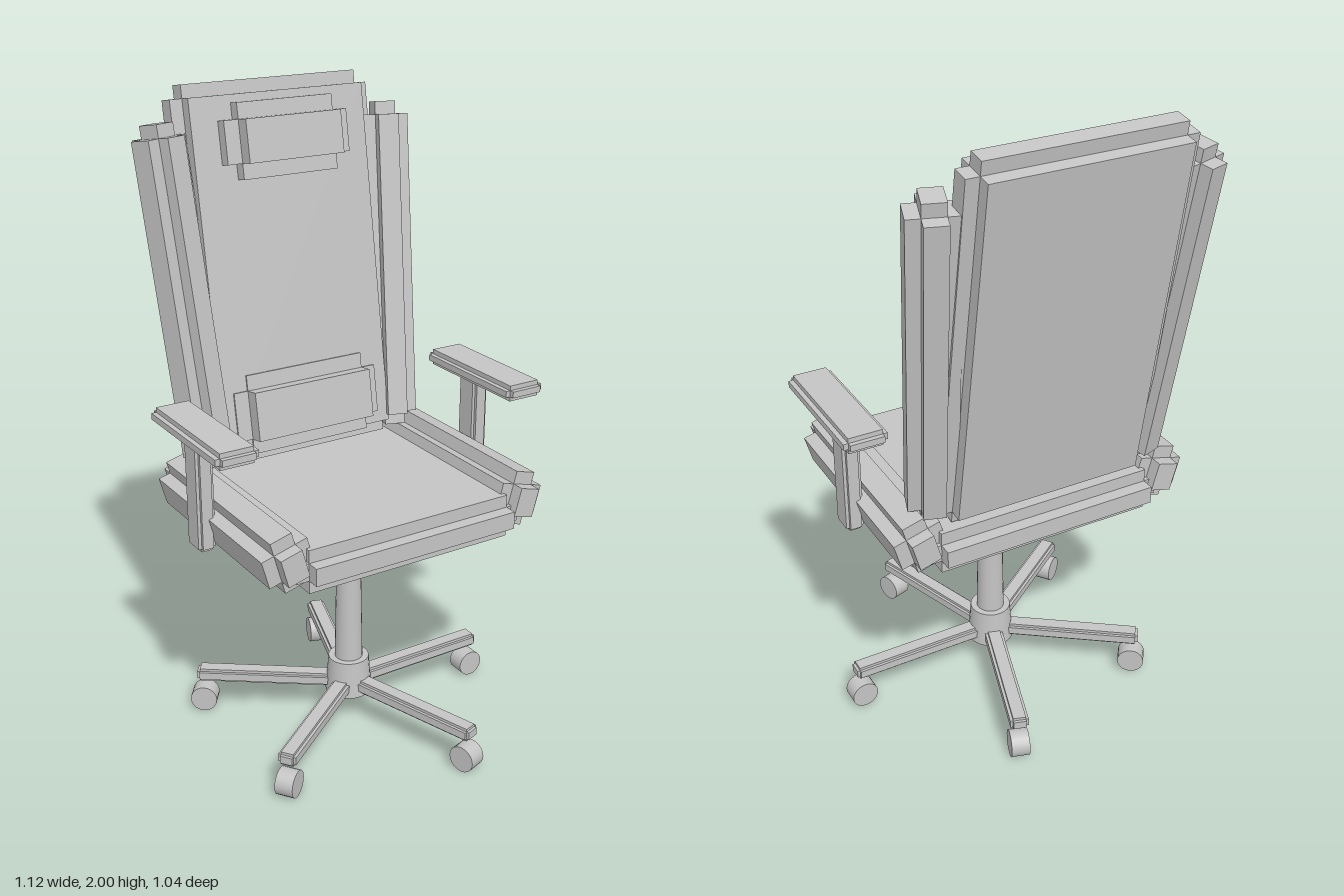
import * as THREE from 'three';
import { mergeGeometries } from 'three/addons/utils/BufferGeometryUtils.js';

const grey = new THREE.MeshStandardMaterial({ color: 0xc4c4c4 });
grey.name = 'plain grey';

const LEAN = -0.165; // recline of the backrest
const MID_Z = 0.02;  // centre line of seat and base

// Box with stepped edges: three crossing boxes, each full size along one axis less
function steppedBox(w, h, d, b) {
  const c = 2 * b;
  return mergeGeometries([
    new THREE.BoxGeometry(w, h - c, d - c),
    new THREE.BoxGeometry(w - c, h, d - c),
    new THREE.BoxGeometry(w - c, h - c, d),
  ]);
}

export function createModel() {
  const model = new THREE.Group();
  model.name = 'officeChair';

  function add(name, geometry, x, y, z, parent = model) {
    const mesh = new THREE.Mesh(geometry, grey);
    mesh.name = name;
    mesh.position.set(x, y, z);
    parent.add(mesh);
    return mesh;
  }

  // Seat and the plate beneath it
  add('seat', steppedBox(0.77, 0.135, 0.77, 0.04), 0, 0.7725, MID_Z);
  add('seatPlate', steppedBox(0.35, 0.07, 0.39, 0.01), 0, 0.68, MID_Z);

  // Reclined backrest with its two cushions
  add('backrest', steppedBox(0.675, 1.16, 0.135, 0.04), 0, 1.423, -0.363).rotation.x = LEAN;
  add('headPillow', steppedBox(0.42, 0.225, 0.135, 0.048), 0, 1.835, -0.342).rotation.x = LEAN;
  add('lumbarPillow', steppedBox(0.51, 0.25, 0.14, 0.048), 0, 1.012, -0.243).rotation.x = LEAN;

  // Mirrored side parts
  for (const s of [1, -1]) {
    const side = s > 0 ? 'left' : 'right';
    add(side + 'SeatBolster', steppedBox(0.15, 0.17, 0.74, 0.04), s * 0.402, 0.81, MID_Z)
      .rotation.z = -s * 0.27;
    add(side + 'BackBolster', steppedBox(0.145, 1.04, 0.155, 0.04), s * 0.364, 1.385, -0.328)
      .rotation.set(LEAN, -s * 0.315, 0, 'YXZ');
    add(side + 'ArmPost', steppedBox(0.055, 0.355, 0.085, 0.01), s * 0.49, 0.907, -0.01);
    add(side + 'ArmPad', steppedBox(0.135, 0.05, 0.435, 0.015), s * 0.493, 1.105, 0.036);
  }

  // Column and hub
  add('column', new THREE.CylinderGeometry(0.037, 0.045, 0.45, 24), 0, 0.435, MID_Z);
  add('hub', new THREE.CylinderGeometry(0.065, 0.075, 0.122, 24), 0, 0.161, MID_Z);

  // Five-spoke base with wheels
  const wheelGeometry = new THREE.CylinderGeometry(0.043, 0.043, 0.058, 20).rotateX(Math.PI / 2);
  const spokeGeometry = steppedBox(0.495, 0.043, 0.058, 0.009);
  for (let i = 0; i < 5; i++) {
    const leg = new THREE.Group();
    leg.name = 'baseLeg' + (i + 1);
    leg.position.z = MID_Z;
    leg.rotation.y = (i * Math.PI * 2) / 5;
    add('spoke', spokeGeometry, 0.2475, 0.134, 0, leg);
    add('wheel', wheelGeometry, 0.475, 0.0465, 0, leg);
    model.add(leg);
  }

  return model;
}
